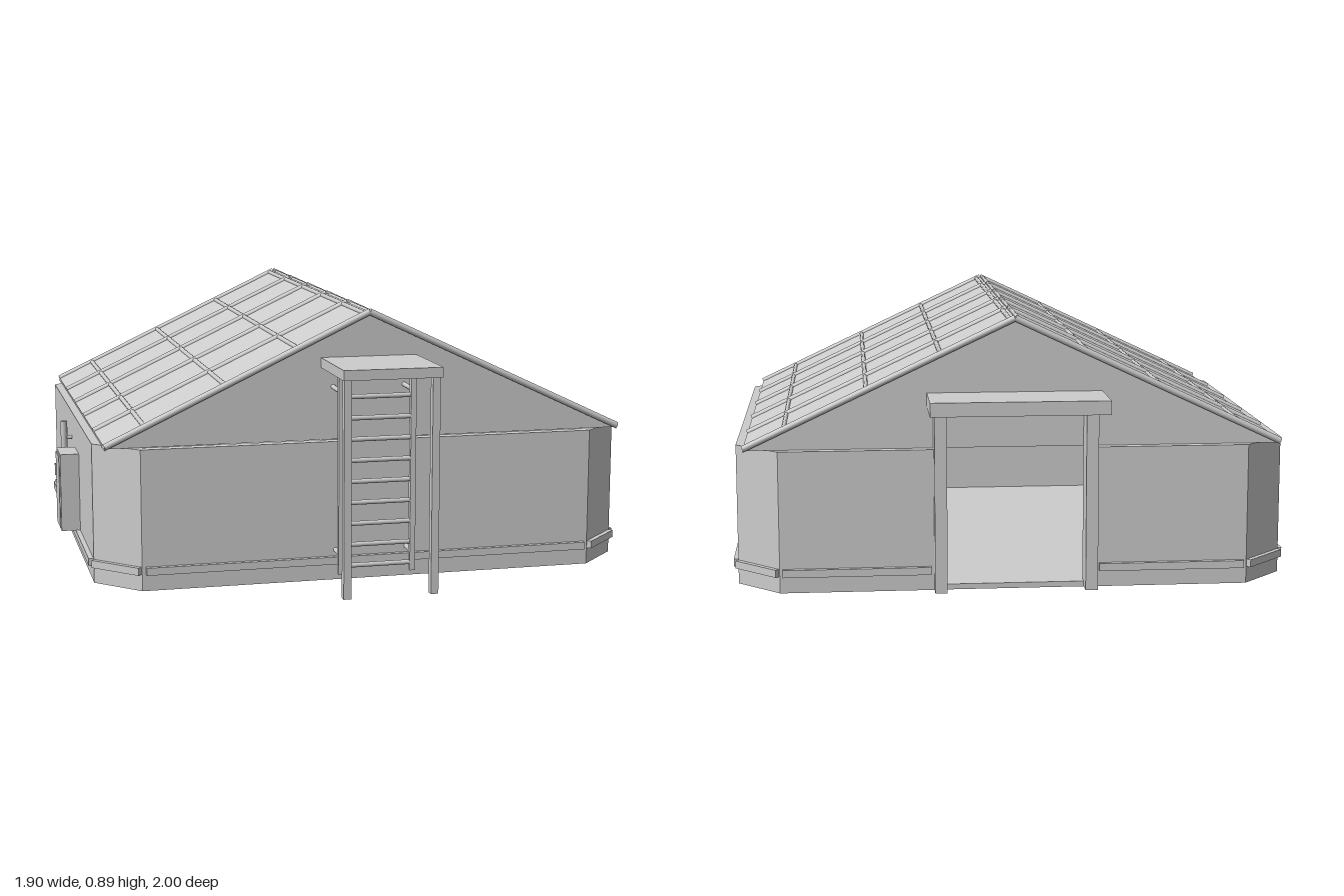
import * as THREE from 'three';

const CX = 0.025; // building centre line in x
const RIDGE = 0.885, EAVE = 0.472, HALF = 0.876;
const BACK = -0.82, FRONT = 0.74, WALL_H = 0.465;

export function createModel() {
  const model = new THREE.Group();
  model.name = 'cabin';
  const grey = new THREE.MeshStandardMaterial({ color: 0xcccccc });
  grey.name = 'plain grey';

  const add = (name, geometry, parent = model) => {
    const mesh = new THREE.Mesh(geometry, grey);
    mesh.name = name;
    parent.add(mesh);
    return mesh;
  };
  const group = (name) => {
    const g = new THREE.Group();
    g.name = name;
    model.add(g);
    return g;
  };
  // Box from its minimum and maximum corners
  const box = (name, x0, x1, y0, y1, z0, z1, parent) => {
    const mesh = add(name, new THREE.BoxGeometry(x1 - x0, y1 - y0, z1 - z0), parent);
    mesh.position.set((x0 + x1) / 2, (y0 + y1) / 2, (z0 + z1) / 2);
    return mesh;
  };
  // Round bar between two points
  const bar = (name, a, b, r, parent) => {
    const p = new THREE.Vector3(...a), q = new THREE.Vector3(...b);
    const mesh = add(name, new THREE.CylinderGeometry(r, r, p.distanceTo(q), 12), parent);
    mesh.position.copy(p).lerp(q, 0.5);
    mesh.quaternion.setFromUnitVectors(new THREE.Vector3(0, 1, 0), q.sub(p).normalize());
    return mesh;
  };
  // Upright extrusion of a plan given as [x, z] points
  const slab = (name, plan, y0, y1) => {
    const shape = new THREE.Shape(plan.map(([x, z]) => new THREE.Vector2(x, -z)));
    const geo = new THREE.ExtrudeGeometry(shape, { depth: y1 - y0, bevelEnabled: false });
    geo.rotateX(-Math.PI / 2).translate(0, y0, 0);
    return add(name, geo);
  };

  // Eight-cornered plan, starting and ending at the back
  const plan = (inset) => {
    const l = -0.88 + inset, r = 0.93 - inset, b = BACK + inset, f = FRONT - inset;
    const c = 0.14 - inset * 0.59;
    return [[r - c, b], [r, b + c], [r, f - c], [r - c, f],
      [l + c, f], [l, f - c], [l, b + c], [l + c, b]];
  };
  const T = 0.035, doorL = -0.2, doorR = 0.25;
  slab('floor', plan(0.002), 0, 0.018);
  slab('walls', [
    [doorR, BACK], ...plan(0), [doorL, BACK],
    [doorL, BACK + T], ...plan(T).reverse(), [doorR, BACK + T],
  ], 0, WALL_H);

  // Gable walls
  const gable = new THREE.Shape([
    new THREE.Vector2(CX - 0.87, WALL_H), new THREE.Vector2(CX + 0.87, WALL_H),
    new THREE.Vector2(CX, RIDGE - 0.012),
  ]);
  for (const [name, z] of [['frontGable', 0.68], ['backGable', -0.79]]) {
    add(name, new THREE.ExtrudeGeometry(gable, { depth: 0.02, bevelEnabled: false })).position.z = z;
  }

  // Skirting rail around the base, one strip for each wall
  const skirting = group('skirtingRail');
  const rail = (a, b, trim) => {
    const dx = b[0] - a[0], dz = b[1] - a[1], len = Math.hypot(dx, dz);
    const nx = -dz / len, nz = dx / len;
    const mesh = add('skirtingStrip', new THREE.BoxGeometry(len - 2 * trim, 0.025, 0.016), skirting);
    mesh.position.set((a[0] + b[0]) / 2 - nx * 0.008, 0.067, (a[1] + b[1]) / 2 - nz * 0.008);
    mesh.rotation.y = Math.atan2(-dz, dx);
  };
  const corners = plan(0);
  for (let i = 0; i < 7; i++) rail(corners[i], corners[i + 1], i % 2 ? 0.013 : 0.003);
  rail(corners[7], [-0.24, BACK], 0.01);
  rail([0.29, BACK], corners[0], 0.01);

  // Roof panels with rafters and purlins, mirrored about the ridge
  const roof = group('roof');
  const panel = new THREE.Shape([
    [-HALF, EAVE], [0, RIDGE], [HALF, EAVE], [HALF, EAVE - 0.012], [0, RIDGE - 0.012], [-HALF, EAVE - 0.012],
  ].map(([x, y]) => new THREE.Vector2(x + CX, y)));
  add('roofPanels', new THREE.ExtrudeGeometry(panel, { depth: 1.51, bevelEnabled: false }), roof)
    .position.z = -0.8;
  for (const side of [-1, 1]) {
    for (let i = 0; i < 6; i++) {
      const z = 0.708 - i * 0.301;
      bar('rafter', [CX, RIDGE, z], [CX + side * HALF, EAVE, z], 0.011, roof);
    }
    for (const d of [0.014, 0.24, 0.48, 0.745]) {
      const y = RIDGE - (RIDGE - EAVE) * d / HALF;
      bar('purlin', [CX + side * d, y, -0.8], [CX + side * d, y, 0.71], 0.008, roof);
    }
  }

  // Back doorway: canopy on two posts
  const doorway = group('backDoorway');
  box('canopy', -0.26, 0.31, 0.6, 0.645, -1, -0.77, doorway);
  box('doorPost', -0.24, -0.2, 0, 0.6, -0.867, -0.79, doorway);
  box('doorPost', 0.25, 0.29, 0, 0.6, -0.867, -0.79, doorway);

  // Front canopy on two slim posts
  const porch = group('frontCanopy');
  box('canopy', -0.137, 0.187, 0.705, 0.738, 0.69, 1, porch);
  box('canopyPost', -0.132, -0.107, 0, 0.705, 0.962, 0.988, porch);
  box('canopyPost', 0.157, 0.182, 0, 0.705, 0.962, 0.988, porch);

  // Ladder fixed to the front wall
  const ladder = group('ladder');
  for (const x of [-0.096, 0.146]) {
    box('ladderRail', x - 0.009, x + 0.009, 0.035, 0.705, 0.795, 0.815, ladder);
    bar('ladderBracket', [x, 0.64, 0.69], [x, 0.64, 0.805], 0.008, ladder);
    bar('ladderBracket', [x, 0.1, 0.73], [x, 0.1, 0.805], 0.008, ladder);
  }
  for (let i = 0; i < 10; i++) {
    const y = 0.062 + i * 0.07;
    bar('rung', [-0.09, y, 0.805], [0.14, y, 0.805], 0.008, ladder);
  }

  // Meter cabinet and conduit on the right wall
  const meter = group('meterCabinet');
  box('cabinet', -0.945, -0.875, 0.08, 0.352, 0.05, 0.185, meter);
  box('cabinetDoor', -0.949, -0.944, 0.09, 0.342, 0.06, 0.175, meter);
  box('cabinetHandle', -0.954, -0.948, 0.26, 0.3, 0.07, 0.08, meter);
  const conduit = group('conduit');
  bar('pipe', [-0.908, 0.04, -0.045], [-0.908, 0.43, -0.045], 0.012, conduit);
  for (const y of [0.1, 0.37]) {
    bar('pipeBracket', [-0.908, y, -0.045], [-0.875, y, -0.045], 0.007, conduit);
  }
  return model;
}
